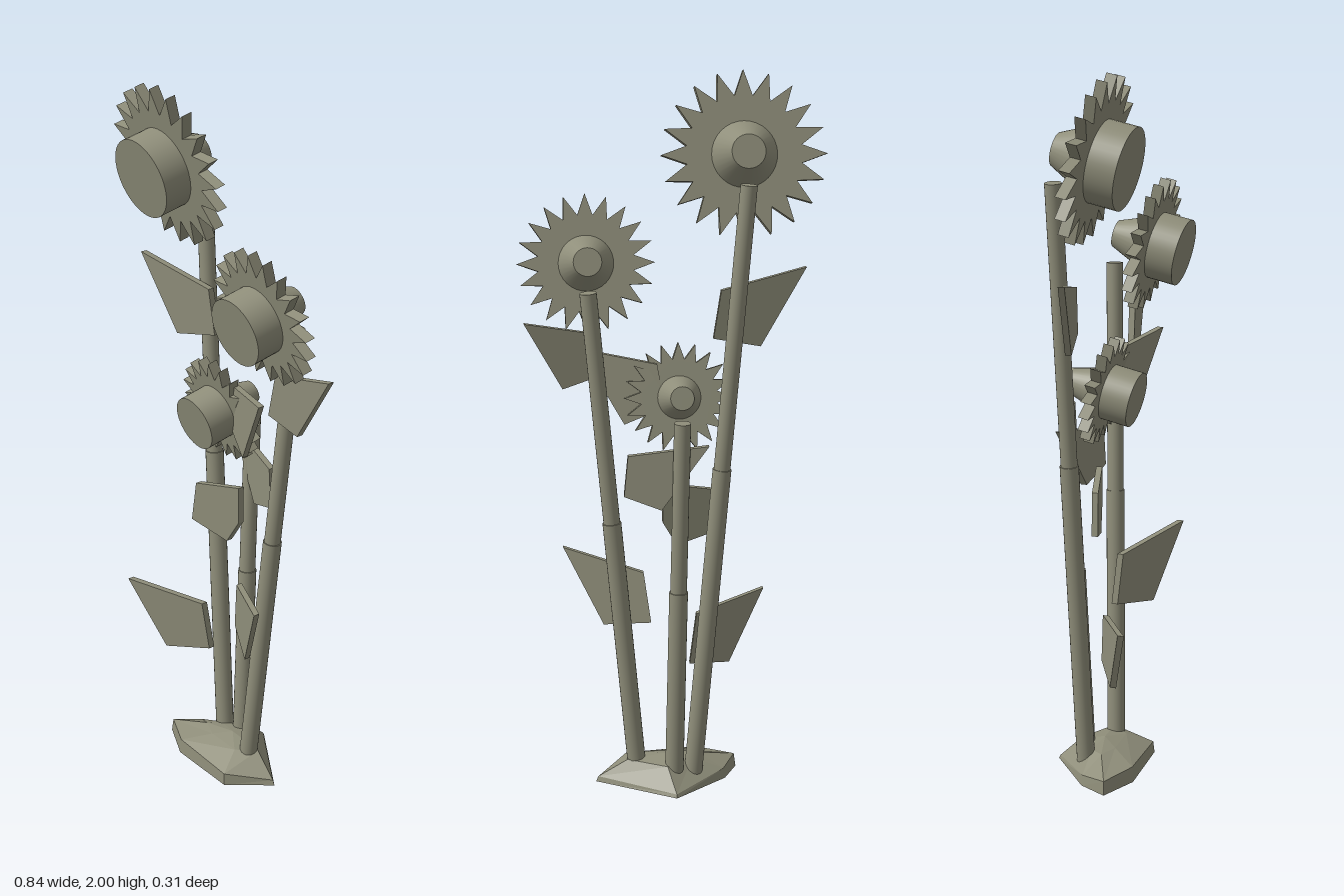
import * as THREE from 'three';

const sage = new THREE.MeshStandardMaterial({ color: 0x8f8e7a, side: THREE.DoubleSide });
sage.name = 'sage';

function add(parent, geometry, name) {
  const mesh = new THREE.Mesh(geometry, sage);
  mesh.name = name;
  parent.add(mesh);
  return mesh;
}

// Straight round bar between two points
function bar(parent, a, b, radius, name) {
  const dir = b.clone().sub(a);
  const mesh = add(parent, new THREE.CylinderGeometry(radius, radius, dir.length(), 20), name);
  mesh.position.copy(a).add(b).multiplyScalar(0.5);
  mesh.quaternion.setFromUnitVectors(new THREE.Vector3(0, 1, 0), dir.normalize());
}

// Stem: slightly thicker lower length, thinner upper length
function stem(parent, a, b) {
  const from = new THREE.Vector3(...a), to = new THREE.Vector3(...b);
  const mid = from.clone().lerp(to, 0.54);
  bar(parent, from, mid, 0.026, 'stemLower');
  bar(parent, mid, to, 0.023, 'stemUpper');
}

// Flower head: star of petals, drum in front, tapered cup behind, nodding forward
function flower(parent, x, y, z, radius, discRadius, cupRadius, tipRadius) {
  const head = new THREE.Group();
  head.name = 'flowerHead';
  const points = [];
  for (let i = 0; i < 40; i++) {
    const r = i % 2 ? radius * 0.7 : radius;
    const a = (i / 40) * Math.PI * 2;
    points.push(new THREE.Vector2(r * Math.sin(a), r * Math.cos(a)));
  }
  const star = new THREE.ExtrudeGeometry(new THREE.Shape(points), { depth: 0.03, bevelEnabled: false });
  add(head, star.translate(0, 0, -0.015), 'petals');
  const disc = new THREE.CylinderGeometry(discRadius, discRadius, 0.08, 40);
  add(head, disc.rotateX(Math.PI / 2).translate(0, 0, 0.055), 'seedDisc');
  const cup = new THREE.CylinderGeometry(cupRadius, tipRadius, 0.095, 32);
  add(head, cup.rotateX(Math.PI / 2).translate(0, 0, -0.06), 'cup');
  head.position.set(x, y, z);
  head.rotation.x = 0.21;
  parent.add(head);
}

// Leaf: flat plate whose depth changes evenly along x from zA (first corner) to zB (second corner)
function leaf(parent, corners, zA, zB) {
  const shape = new THREE.Shape(corners.map(([x, y]) => new THREE.Vector2(x, y)));
  const g = new THREE.ExtrudeGeometry(shape, { depth: 0.018, bevelEnabled: false });
  const p = g.attributes.position, xA = corners[0][0], xB = corners[1][0];
  for (let i = 0; i < p.count; i++) {
    const t = (p.getX(i) - xA) / (xB - xA);
    p.setZ(i, p.getZ(i) - 0.009 + zA + (zB - zA) * t);
  }
  g.computeVertexNormals();
  add(parent, g, 'leaf');
}

// Mound: open faceted shell made of three rings closing on a peak
function mound(parent) {
  const outline = [[0, -0.155], [-0.15, -0.03], [-0.19, 0.05], [-0.08, 0.1], [0.13, 0.095], [0.22, -0.02]];
  const rimHeight = [0.01, 0.03, 0.04, 0.045, 0.035, 0.015];
  const n = outline.length;
  const ring = [
    outline.map(([x, z]) => [x, 0, z]),
    outline.map(([x, z], i) => [x * 0.97, rimHeight[i], z * 0.97]),
    outline.map(([x, z]) => [0.02 + x * 0.5, 0.068, -0.02 + z * 0.45]),
    outline.map(() => [0.02, 0.08, -0.02]),
  ];
  const v = [];
  for (let r = 0; r < 3; r++) {
    for (let i = 0; i < n; i++) {
      const j = (i + 1) % n;
      const [a, b, c, d] = [ring[r][i], ring[r][j], ring[r + 1][j], ring[r + 1][i]];
      v.push(...a, ...b, ...c);
      if (r < 2) v.push(...a, ...c, ...d);
    }
  }
  const g = new THREE.BufferGeometry();
  g.setAttribute('position', new THREE.Float32BufferAttribute(v, 3));
  g.computeVertexNormals();
  add(parent, g, 'mound');
}

export function createModel() {
  const model = new THREE.Group();
  model.name = 'flowers';

  mound(model);

  stem(model, [-0.055, 0.02, -0.05], [-0.196, 1.715, -0.085]);
  stem(model, [0.1, 0.02, -0.013], [0.23, 1.43, -0.065]);
  stem(model, [0, 0.02, -0.068], [-0.018, 1.08, -0.117]);

  flower(model, -0.196, 1.78, 0.03, 0.224, 0.111, 0.09, 0.045);
  flower(model, 0.23, 1.49, 0.045, 0.187, 0.094, 0.076, 0.038);
  flower(model, -0.018, 1.125, -0.008, 0.15, 0.077, 0.06, 0.032);

  // Leaves, each listed from its pointed tip
  leaf(model, [[-0.365, 1.48], [-0.127, 1.43], [-0.106, 1.3], [-0.238, 1.27]], 0.0, -0.055);
  leaf(model, [[0.402, 1.345], [0.222, 1.31], [0.2, 1.19], [0.3, 1.16]], -0.04, -0.01);
  leaf(model, [[0.249, 1.25], [0.042, 1.22], [0.02, 1.1], [0.13, 1.045]], 0.065, -0.005);
  leaf(model, [[-0.09, 1.015], [0.127, 0.98], [0.138, 0.865], [0.037, 0.83]], -0.115, -0.07);
  leaf(model, [[-0.115, 0.86], [0.03, 0.89], [0.03, 0.78], [-0.01, 0.71], [-0.13, 0.74]], 0.0, -0.04);
  leaf(model, [[0.3, 0.665], [0.08, 0.62], [0.06, 0.475], [0.19, 0.45]], 0.115, 0.005);
  leaf(model, [[-0.275, 0.52], [-0.07, 0.49], [-0.05, 0.345], [-0.17, 0.32]], 0.13, 0.015);

  return model;
}
